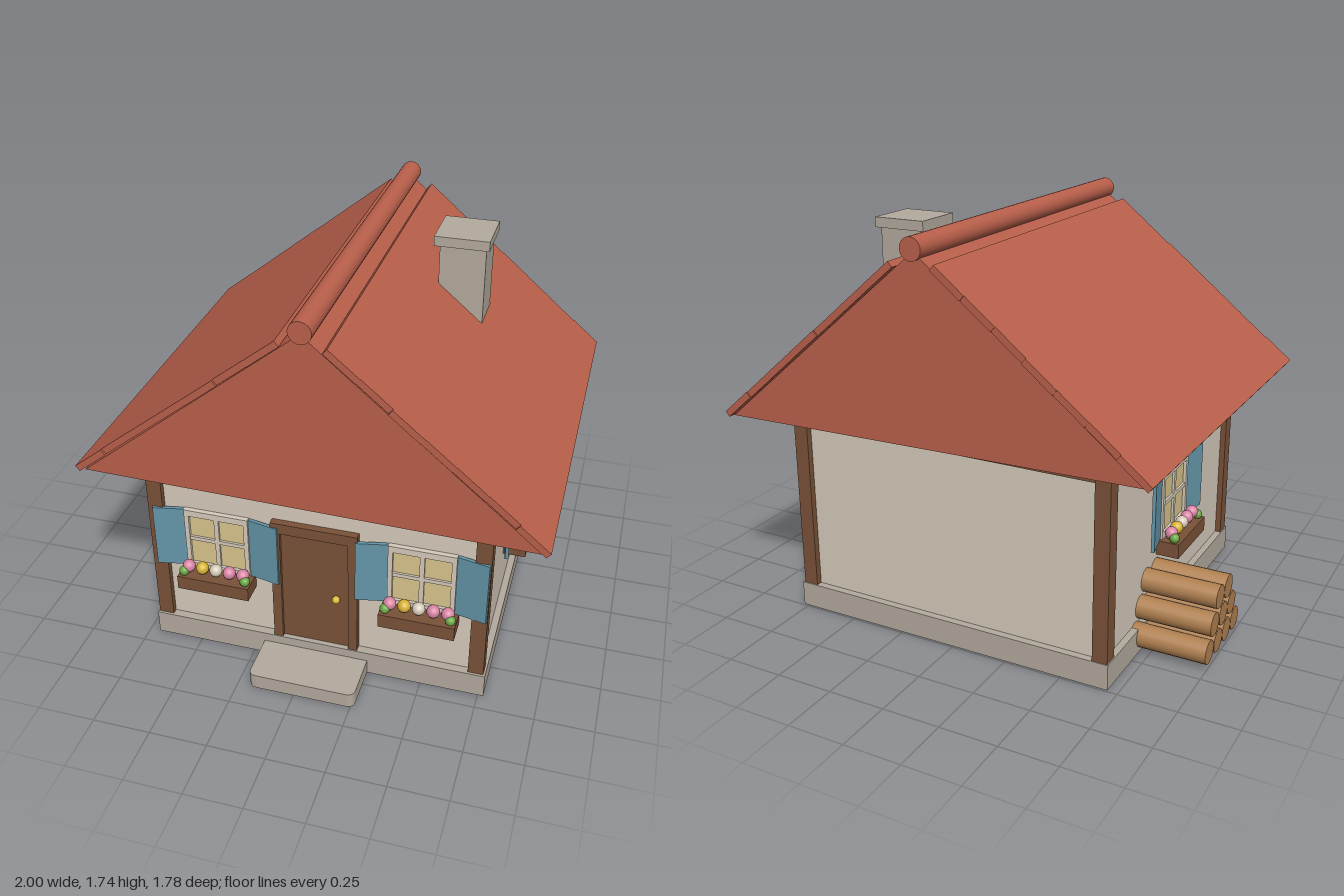
import * as THREE from 'three';

const mat = (name, color) => Object.assign(new THREE.MeshStandardMaterial({ color }), { name });
const M = {
  plaster: mat('plaster', 0xd6cbbb), stone: mat('stone', 0xb4aa9e), roof: mat('roofRed', 0xba604b),
  shutter: mat('shutterBlue', 0x6496a8), wood: mat('darkWood', 0x7a5238), log: mat('logWood', 0xb08050),
  glass: mat('warmGlass', 0xd8c48c), pink: mat('petalPink', 0xd884a4), leaf: mat('leafGreen', 0x6aa844),
  gold: mat('gold', 0xd8b234),
};

function add(parent, name, geo, material, x = 0, y = 0, z = 0) {
  const m = new THREE.Mesh(geo, material);
  m.name = name;
  m.position.set(x, y, z);
  parent.add(m);
  return m;
}

// Box given by its limits on each axis
function span(parent, name, material, x0, x1, y0, y1, z0, z1) {
  return add(parent, name, new THREE.BoxGeometry(x1 - x0, y1 - y0, z1 - z0), material,
    (x0 + x1) / 2, (y0 + y1) / 2, (z0 + z1) / 2);
}

// Window facing +z, with the wall plane at local z = 0
function makeWindow(name) {
  const g = new THREE.Group();
  g.name = name;
  span(g, 'windowPane', M.glass, -0.125, 0.125, 0.42, 0.67, 0, 0.008);
  for (const s of [-1, 1]) {
    span(g, 'frameSide', M.plaster, s * 0.132 - 0.01, s * 0.132 + 0.01, 0.4, 0.7, 0, 0.022);
    const hinge = new THREE.Group();
    hinge.name = 'shutterHinge';
    hinge.position.set(s * 0.144, 0, 0.006);
    hinge.rotation.y = -s * 0.2;
    add(hinge, 'shutter', new THREE.BoxGeometry(0.135, 0.295, 0.015), M.shutter, s * 0.0675, 0.55, 0);
    g.add(hinge);
  }
  span(g, 'frameTop', M.plaster, -0.142, 0.142, 0.67, 0.7, 0, 0.022);
  span(g, 'frameBottom', M.plaster, -0.142, 0.142, 0.4, 0.425, 0, 0.022);
  span(g, 'mullion', M.plaster, -0.01, 0.01, 0.42, 0.67, 0, 0.018);
  span(g, 'crossbar', M.plaster, -0.122, 0.122, 0.545, 0.563, 0, 0.018);
  // Flower box with blossoms and leaves
  span(g, 'flowerBox', M.wood, -0.16, 0.16, 0.338, 0.402, 0, 0.103);
  [M.pink, M.gold, M.plaster, M.pink, M.pink].forEach((m, i) =>
    add(g, 'flower', new THREE.SphereGeometry(0.028, 14, 10), m, (i - 2) * 0.061, 0.432, 0.055));
  for (const s of [-1, 1])
    add(g, 'leaf', new THREE.SphereGeometry(0.022, 12, 8), M.leaf, s * 0.137, 0.418, 0.075);
  return g;
}

export function createModel() {
  const house = new THREE.Group();
  house.name = 'cottage';

  // Base and walls
  span(house, 'foundation', M.stone, -0.705, 0.775, 0, 0.11, -0.742, 0.677);
  span(house, 'walls', M.plaster, -0.675, 0.745, 0.1, 0.92, -0.71, 0.64);

  // Rounded doorstep
  const step = new THREE.Shape();
  const r = 0.035, x0 = -0.2, x1 = 0.265, z1 = 0.893;
  step.moveTo(x0, -0.66);
  step.lineTo(x0, -z1 + r);
  step.quadraticCurveTo(x0, -z1, x0 + r, -z1);
  step.lineTo(x1 - r, -z1);
  step.quadraticCurveTo(x1, -z1, x1, -z1 + r);
  step.lineTo(x1, -0.66);
  const stepGeo = new THREE.ExtrudeGeometry(step, { depth: 0.068, bevelEnabled: false, curveSegments: 6 });
  add(house, 'doorstep', stepGeo.rotateX(-Math.PI / 2), M.stone);

  // Timber posts and beams
  for (const x of [-0.7, 0.7])
    for (const z of [-0.737, 0.6])
      span(house, 'cornerPost', M.wood, x, x + 0.066, 0.1, 0.925, z, z + 0.066);
  span(house, 'frontBeam', M.wood, -0.7, 0.766, 0.86, 0.922, 0.6, 0.662);
  span(house, 'backBeam', M.wood, -0.7, 0.766, 0.86, 0.922, -0.733, -0.67);

  // Door
  span(house, 'doorPanel', M.wood, -0.115, 0.178, 0.11, 0.67, 0.63, 0.655);
  span(house, 'doorJamb', M.wood, -0.155, -0.115, 0.11, 0.72, 0.63, 0.672);
  span(house, 'doorJamb', M.wood, 0.178, 0.218, 0.11, 0.72, 0.63, 0.672);
  span(house, 'doorLintel', M.wood, -0.155, 0.218, 0.67, 0.72, 0.63, 0.672);
  add(house, 'doorKnob', new THREE.SphereGeometry(0.018, 14, 10), M.gold, 0.125, 0.37, 0.668);

  // Windows on the front and both sides
  const places = [['frontWindowRight', -0.4, 0.64, 0], ['frontWindowLeft', 0.485, 0.64, 0],
    ['sideWindowLeft', 0.742, -0.032, Math.PI / 2], ['sideWindowRight', -0.672, -0.032, -Math.PI / 2]];
  for (const [name, x, z, turn] of places) {
    const w = makeWindow(name);
    w.position.set(x, 0, z);
    w.rotation.y = turn;
    house.add(w);
  }

  // Gable block, leaning slightly
  const gable = new THREE.Shape([[-0.885, 0.94], [0.965, 0.907], [0.043, 1.688]]
    .map(([x, y]) => new THREE.Vector2(x, y)));
  add(house, 'gableBlock', new THREE.ExtrudeGeometry(gable, { depth: 1.685, bevelEnabled: false }),
    M.roof, 0, 0, -0.875);

  // Roof slopes in courses with uneven ends
  const slopes = [[-0.923, 0.956, -0.053, 1.65, 1], [0.997, 0.923, 0.144, 1.645, -1]];
  const thick = 0.028, rows = 7;
  for (const [ax, ay, bx, by, s] of slopes) {
    const dx = bx - ax, dy = by - ay, len = Math.hypot(dx, dy);
    const nx = -dy / len * s, ny = dx / len * s;
    for (let i = 0; i < rows; i++) {
      const t = (i + 0.5) / rows, front = 0.82 - (i * 3 % 4) * 0.003, back = -0.89 + (i * 5 % 3) * 0.003;
      const course = add(house, 'roofCourse', new THREE.BoxGeometry(len / rows, thick, front - back), M.roof,
        ax + dx * t - nx * thick / 2, ay + dy * t - ny * thick / 2, (front + back) / 2);
      course.rotation.z = Math.atan(dy / dx);
    }
  }
  const ridge = new THREE.CylinderGeometry(0.046, 0.046, 1.71, 24).rotateX(Math.PI / 2);
  add(house, 'ridgeRoll', ridge, M.roof, 0.045, 1.698, -0.035);

  // Chimney
  span(house, 'chimneyStack', M.stone, 0.338, 0.535, 1.22, 1.66, -0.367, -0.17);
  span(house, 'chimneyCap', M.stone, 0.315, 0.55, 1.655, 1.698, -0.388, -0.152);

  // Stacked firewood
  const logGeo = new THREE.CylinderGeometry(0.051, 0.051, 0.325, 18).rotateZ(Math.PI / 2);
  for (let row = 0; row < 3; row++)
    for (let i = 0; i < 4 - row; i++)
      add(house, 'firewoodLog', logGeo, M.log, -0.838, 0.07 + row * 0.1,
        -0.247 + (i - (3 - row) / 2) * 0.104);

  return house;
}
